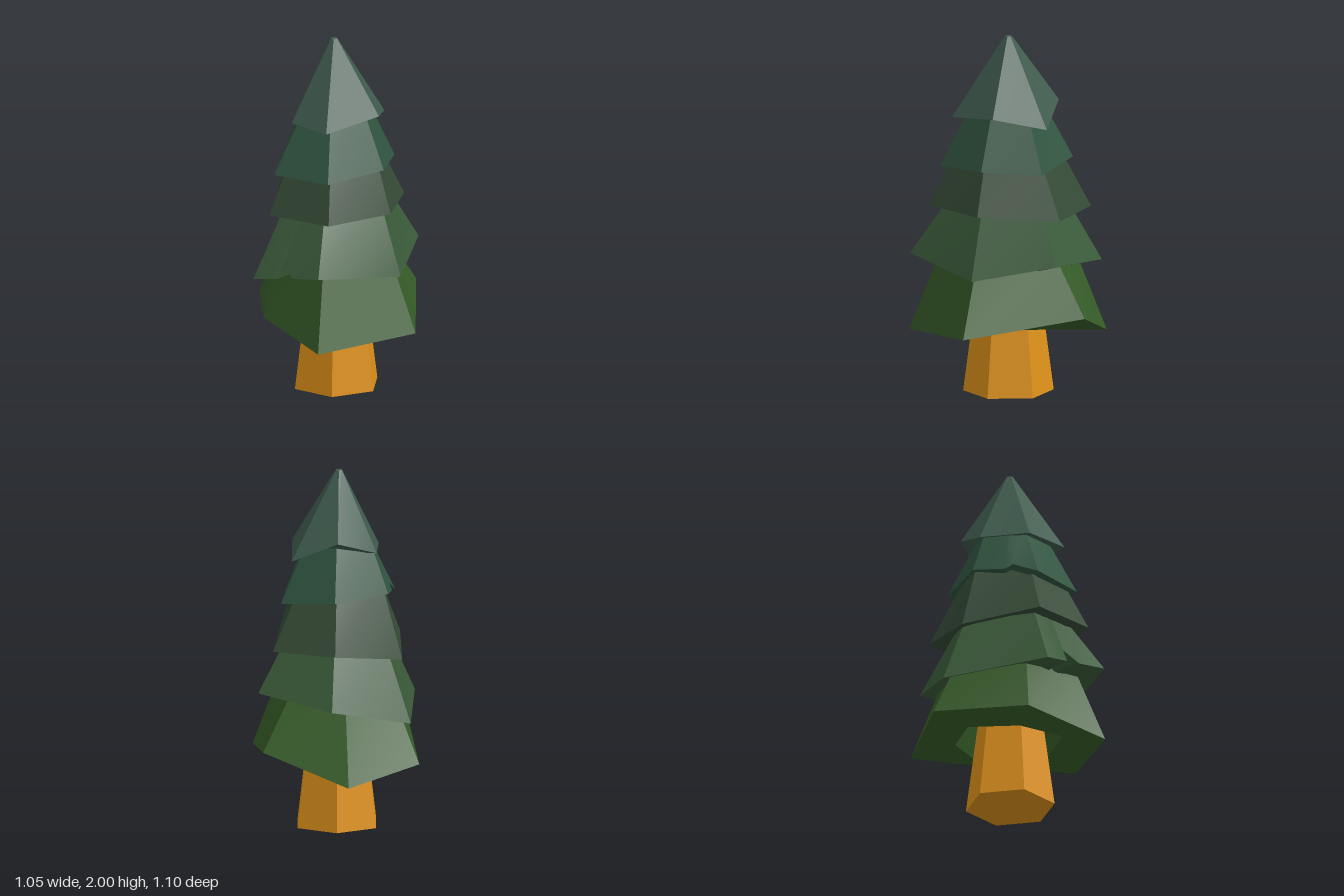
import * as THREE from 'three';
import { toCreasedNormals } from 'three/addons/utils/BufferGeometryUtils.js';

const CX = -0.033; // trunk axis

// Each tier: ragged rim corners [x, y, z] counter-clockwise from the front,
// then the hexagonal upper ring it tapers to and the height of its underside.
const TIERS = [
  { name: 'bottomBranches', color: 0x365c28, topY: 0.85, topR: 0.36, underY: 0.39, rim: [
    [-0.03, 0.39, 0.548], [0.523, 0.49, 0.16], [0.412, 0.32, -0.32],
    [0.035, 0.41, -0.552], [-0.38, 0.43, -0.23], [-0.525, 0.34, 0.24]] },
  { name: 'lowerBranches', color: 0x3a5a3a, topY: 1.12, topR: 0.31, underY: 0.72, rim: [
    [-0.03, 0.70, 0.448], [0.40, 0.79, 0.263], [0.43, 0.74, -0.225],
    [0.02, 0.63, -0.488], [-0.505, 0.69, -0.21],
    [-0.505, 0.72, -0.05], [-0.455, 0.81, -0.033], [-0.505, 0.74, 0.05], // notch
    [-0.52, 0.77, 0.238]] },
  { name: 'middleBranches', color: 0x354b36, topY: 1.40, topR: 0.27, underY: 1.03, rim: [
    [-0.03, 1.05, 0.38], [0.38, 1.03, 0.18], [0.37, 1.04, -0.21],
    [-0.04, 0.97, -0.40], [-0.41, 1.04, -0.17], [-0.41, 1.05, 0.23]] },
  { name: 'upperBranches', color: 0x305540, topY: 1.64, topR: 0.19, underY: 1.30, rim: [
    [-0.03, 1.295, 0.333], [0.275, 1.28, 0.19], [0.285, 1.32, -0.16],
    [-0.04, 1.33, -0.31], [-0.21, 1.31, -0.235], [-0.24, 1.34, -0.203], // small jag
    [-0.385, 1.27, -0.155], [-0.36, 1.27, 0.19]] },
  { name: 'treeTop', color: 0x3f5b4e, topY: 2, topR: 0.02, underY: 1.57, rim: [
    [0.01, 1.585, 0.272], [0.27, 1.525, 0.125], [0.21, 1.64, -0.135],
    [-0.03, 1.555, -0.243], [-0.28, 1.55, -0.11], [-0.31, 1.54, 0.143]] },
];

// Distance from the axis to a hexagon of corner radius r, at angle a
function hexRadius(a, r) {
  const step = Math.PI / 3;
  const local = ((a % step) + step) % step - step / 2;
  return r * Math.cos(step / 2) / Math.cos(local);
}

function makeTier({ name, color, topY, topR, underY, rim }) {
  const top = rim.map(([x, , z]) => {
    const a = Math.atan2(x - CX, z);
    const r = hexRadius(a, topR);
    return [CX + Math.sin(a) * r, topY, Math.cos(a) * r];
  });
  const shrink = (k, y) => rim.map(([x, , z]) => [CX + (x - CX) * k, y, z * k]);
  // Cap, outer slope, level underside lip, hollow, ceiling
  const rings = [shrink(0, topY), top, rim, shrink(0.55, underY),
    shrink(0.42, underY + 0.18), shrink(0, underY + 0.18)];

  const pos = [];
  const n = rim.length;
  for (let k = 0; k < rings.length - 1; k++) {
    const [A, B] = [rings[k], rings[k + 1]];
    for (let i = 0; i < n; i++) {
      const j = (i + 1) % n;
      if (k < rings.length - 2) pos.push(...B[i], ...B[j], ...A[j]);
      if (k > 0) pos.push(...B[i], ...A[j], ...A[i]);
    }
  }
  const geo = new THREE.BufferGeometry();
  geo.setAttribute('position', new THREE.Float32BufferAttribute(pos, 3));
  // One shade per facet, even where its four corners are slightly twisted
  const mesh = new THREE.Mesh(toCreasedNormals(geo, 0.45), new THREE.MeshStandardMaterial({ color }));
  mesh.name = name;
  return mesh;
}

export function createModel() {
  const tree = new THREE.Group();
  tree.name = 'pineTree';

  // Six-sided tapered trunk
  const trunk = new THREE.Mesh(
    new THREE.CylinderGeometry(0.165, 0.25, 0.65, 6),
    new THREE.MeshStandardMaterial({ color: 0xe0921a, flatShading: true }));
  trunk.position.set(-0.028, 0.325, 0.01);
  trunk.name = 'trunk';
  tree.add(trunk);

  // Stacked tiers of branches
  for (const tier of TIERS) tree.add(makeTier(tier));
  return tree;
}
